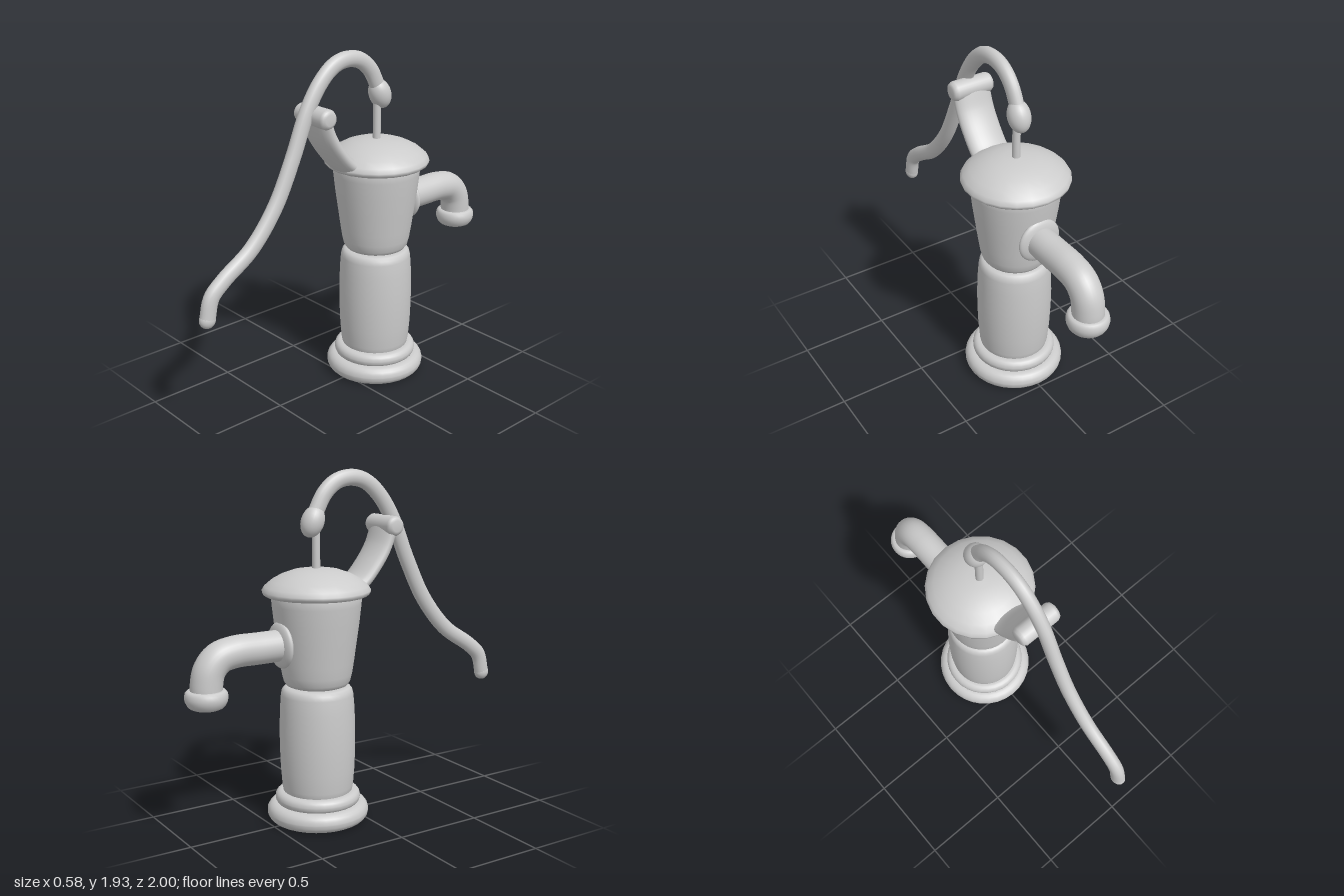
import * as THREE from 'three';

export function createModel() {
  const root = new THREE.Group();
  root.name = 'handWaterPump';
  const material = new THREE.MeshStandardMaterial({ color: 0xcccccc, side: THREE.DoubleSide });
  const AXIS_Z = -0.22;

  const add = (name, geometry, x = 0, y = 0, z = 0, parent = root) => {
    const mesh = new THREE.Mesh(geometry, material);
    mesh.name = name;
    mesh.position.set(x, y, z);
    parent.add(mesh);
    return mesh;
  };
  // turned part from [radius, y] pairs listed bottom to top
  const turned = (points, segments = 32) =>
    new THREE.LatheGeometry(points.map(([r, y]) => new THREE.Vector2(r, y)), segments);
  // hollow ring with a rounded rectangular section
  const ring = (inner, outer, bottom, top, round) => {
    const pts = [];
    const corners = [
      [outer - round, bottom + round, -90], [outer - round, top - round, 0],
      [inner + round, top - round, 90], [inner + round, bottom + round, 180],
    ];
    for (const [r, y, start] of corners)
      for (let i = 0; i <= 5; i++) {
        const a = THREE.MathUtils.degToRad(start + i * 18);
        pts.push([r + round * Math.cos(a), y + round * Math.sin(a)]);
      }
    pts.push(pts[0]);
    return turned(pts);
  };
  // smooth path in the side plane from [z, y] pairs
  const path = (points) =>
    new THREE.CatmullRomCurve3(points.map(([z, y]) => new THREE.Vector3(0, y, z)));

  // foot and body
  add('baseRing', ring(0.16, 0.282, 0, 0.106, 0.05), 0, 0, AXIS_Z);
  add('baseCollar', ring(0.15, 0.236, 0.095, 0.172, 0.036), 0, 0, AXIS_Z);
  add('lowerBarrel', turned([
    [0, 0.125], [0.17, 0.13], [0.188, 0.155], [0.197, 0.2], [0.205, 0.3], [0.209, 0.42],
    [0.209, 0.53], [0.205, 0.64], [0.199, 0.72], [0.193, 0.745], [0.18, 0.76],
    [0.16, 0.766], [0, 0.766],
  ]), 0, 0, AXIS_Z);
  add('upperBarrel', turned([
    [0, 0.768], [0.15, 0.768], [0.168, 0.775], [0.182, 0.795], [0.192, 0.835], [0.202, 0.9],
    [0.217, 1.01], [0.232, 1.12], [0.243, 1.22], [0.245, 1.255], [0.238, 1.28],
  ]), 0, 0, AXIS_Z);
  add('lid', turned([
    [0, 1.275], [0.235, 1.275], [0.25, 1.268], [0.278, 1.268], [0.292, 1.28], [0.294, 1.295],
    [0.28, 1.318], [0.245, 1.348], [0.19, 1.378], [0.13, 1.399], [0.065, 1.41], [0, 1.413],
  ], 22), 0, 0, AXIS_Z);

  // piston rod and its knob
  add('pistonRod', new THREE.CylinderGeometry(0.022, 0.022, 0.27, 16), 0, 1.515, AXIS_Z);
  const knob = add('rodKnob', new THREE.SphereGeometry(1, 24, 16), 0, 1.66, -0.24);
  knob.scale.set(0.061, 0.088, 0.063);
  knob.rotation.x = 0.4;

  // lever handle, slightly flattened sideways
  const handle = new THREE.Group();
  handle.name = 'handle';
  handle.scale.x = 0.82;
  root.add(handle);
  const lever = path([
    [-0.225, 1.7], [-0.165, 1.805], [-0.09, 1.865], [0, 1.883], [0.09, 1.862], [0.18, 1.79],
    [0.27, 1.66], [0.38, 1.41], [0.5, 1.18], [0.66, 0.99], [0.845, 0.865], [0.92, 0.795],
    [0.951, 0.682],
  ]);
  add('lever', new THREE.TubeGeometry(lever, 100, 0.045, 16), 0, 0, 0, handle);
  add('leverTip', new THREE.SphereGeometry(0.046, 20, 14), 0, 0.682, 0.951, handle);

  // curved, wide bracket carrying the pivot
  const arm = path([[0.22, 1.61], [0.178, 1.5], [0.115, 1.405], [0.03, 1.315], [-0.03, 1.29]]);
  add('bracketArm', new THREE.TubeGeometry(arm, 32, 0.05, 28)).scale.x = 2.24;
  const pivotProfile = [[0, -0.124], [0.03, -0.124], [0.046, -0.117], [0.055, -0.1],
    [0.055, 0.1], [0.046, 0.117], [0.03, 0.124], [0, 0.124]];
  add('pivotPin', turned(pivotProfile, 24), 0, 1.617, 0.222).rotation.z = Math.PI / 2;

  // spout with flange and mouth
  const pipe = path([
    [-0.42, 1.015], [-0.58, 1.015], [-0.72, 1.014], [-0.81, 0.992], [-0.863, 0.935],
    [-0.882, 0.86], [-0.884, 0.79],
  ]);
  add('spoutPipe', new THREE.TubeGeometry(pipe, 48, 0.085, 28));
  const flange = add('spoutFlange', new THREE.SphereGeometry(1, 32, 16), 0, 1.015, -0.445);
  flange.scale.set(0.125, 0.125, 0.035);
  add('spoutMouth', turned([
    [0, 0.765], [0.03, 0.768], [0.045, 0.755], [0.055, 0.74], [0.07, 0.735], [0.09, 0.744],
    [0.102, 0.758], [0.111, 0.778], [0.114, 0.798], [0.11, 0.82], [0.1, 0.832], [0.085, 0.835],
    [0.06, 0.835],
  ]), 0, 0, -0.885);

  return root;
}
